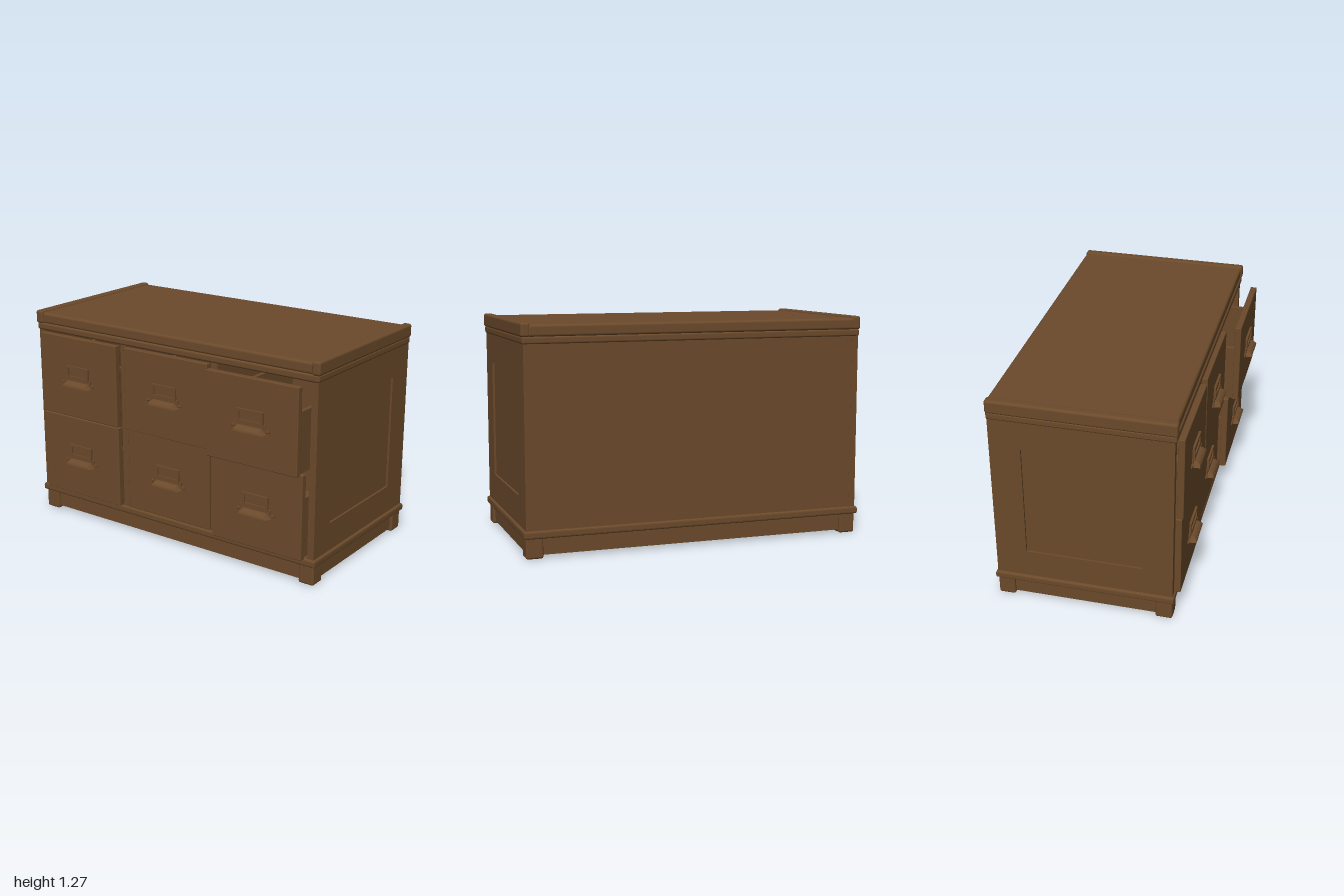
import * as THREE from 'three';
import { RoundedBoxGeometry } from 'three/addons/geometries/RoundedBoxGeometry.js';

const wood = new THREE.MeshStandardMaterial({ color: 0x6b4a2b });
wood.name = 'brownWood';

function add(parent, name, geometry) {
  const mesh = new THREE.Mesh(geometry, wood);
  mesh.name = name;
  parent.add(mesh);
  return mesh;
}

// Box given by its limits, with optional rounded edges
function box(parent, name, x0, x1, y0, y1, z0, z1, r = 0) {
  const size = [x1 - x0, y1 - y0, z1 - z0];
  const geo = r ? new RoundedBoxGeometry(...size, 3, r) : new THREE.BoxGeometry(...size);
  geo.translate((x0 + x1) / 2, (y0 + y1) / 2, (z0 + z1) / 2);
  return add(parent, name, geo);
}

function rect(path, x0, x1, y0, y1) {
  path.moveTo(x0, y0);
  path.lineTo(x1, y0);
  path.lineTo(x1, y1);
  path.lineTo(x0, y1);
  path.closePath();
  return path;
}

// Flat rectangular frame in XY, extruded along +z
function frame(outer, inner, depth, bevel = 0) {
  const shape = rect(new THREE.Shape(), ...outer);
  shape.holes.push(rect(new THREE.Path(), ...inner));
  return new THREE.ExtrudeGeometry(shape, {
    depth, bevelEnabled: bevel > 0, bevelSize: bevel, bevelOffset: -bevel, bevelThickness: bevel, bevelSegments: 3,
  });
}

// Cup pull: quarter-round profile, narrowing towards the top
function cupGeometry() {
  const s = new THREE.Shape();
  s.moveTo(0, 0);
  s.lineTo(0.045, 0);
  s.lineTo(0.043, 0.008);
  s.quadraticCurveTo(0.034, 0.026, 0.012, 0.03);
  s.lineTo(0, 0.03);
  const geo = new THREE.ExtrudeGeometry(s, { depth: 0.2, bevelEnabled: false, curveSegments: 6 });
  geo.translate(0, 0, -0.1).rotateY(-Math.PI / 2);
  const p = geo.attributes.position;
  for (let i = 0; i < p.count; i++) {
    p.setX(i, p.getX(i) * (1.03 - 9 * p.getY(i) - 3 * Math.max(0, p.getZ(i) - 0.01)));
  }
  geo.computeVertexNormals();
  return geo;
}

function createHandle() {
  const g = new THREE.Group();
  g.name = 'handle';
  // Label holder and its backing
  const holder = add(g, 'labelHolder', frame([-0.085, 0.085, 0.04, 0.12], [-0.068, 0.068, 0.06, 0.107], 0.014));
  holder.position.z = -0.001;
  box(g, 'labelCard', -0.07, 0.07, 0.055, 0.11, -0.001, 0.004);
  box(g, 'backPlate', -0.1, 0.1, 0.02, 0.05, -0.001, 0.008);
  add(g, 'cupPull', cupGeometry());
  // Side lugs with screws
  for (const s of [-1, 1]) {
    box(g, 'lug', s * 0.105 - 0.018, s * 0.105 + 0.018, 0.008, 0.026, -0.001, 0.007);
    const screw = add(g, 'screw', new THREE.SphereGeometry(0.007, 10, 6));
    screw.position.set(s * 0.112, 0.017, 0.007);
  }
  return g;
}

// Drawer with its front face on local z = 0, bottom on y = 0
function createDrawer() {
  const g = new THREE.Group();
  g.name = 'drawer';
  const w = 0.295, d = -0.86, h = 0.35;
  box(g, 'drawerFront', -w, w, 0, 0.493, -0.037, 0, 0.005);
  for (const s of [-1, 1]) {
    const x = s * (w - 0.02);
    box(g, 'drawerSide', x - 0.012, x + 0.012, 0.005, h, d, -0.03);
  }
  box(g, 'drawerBack', -w + 0.02, w - 0.02, 0.005, h, d, d + 0.024);
  box(g, 'drawerBottom', -w + 0.02, w - 0.02, 0.005, 0.025, d, -0.03);
  const handle = createHandle();
  handle.position.y = 0.2;
  g.add(handle);
  return g;
}

export function createModel() {
  const model = new THREE.Group();
  model.name = 'drawerCabinet';

  // Base: corner feet, skirting and moulding
  for (const s of [-1, 1]) {
    const x = s * 0.938;
    for (const z of [0.382, -0.528]) {
      box(model, 'foot', x - 0.048, x + 0.048, 0, 0.125, z - 0.048, z + 0.048, 0.012);
    }
    box(model, 'sideSkirt', s * 0.955 - 0.015, s * 0.955 + 0.015, 0.018, 0.12, -0.53, 0.38);
  }
  box(model, 'frontSkirt', -0.94, 0.94, 0.018, 0.12, 0.385, 0.415);
  box(model, 'backSkirt', -0.94, 0.94, 0.018, 0.12, -0.56, -0.53);
  const moulding = add(model, 'baseMoulding',
    frame([-0.998, 0.998, -0.44, 0.585], [-0.92, 0.92, -0.36, 0.505], 0.021, 0.012));
  moulding.rotation.x = -Math.PI / 2;
  moulding.position.y = 0.123;

  // Carcass: framed sides, back, floor, dividers
  for (const s of [-1, 1]) {
    const side = add(model, 'sideFrame', frame([-0.575, 0.43, 0.145, 1.17], [-0.4, 0.265, 0.32, 0.99], 0.04));
    side.rotation.y = -Math.PI / 2;
    side.position.x = s > 0 ? 0.985 : -0.945;
    box(model, 'sidePanel', s * 0.96 - 0.013, s * 0.96 + 0.013, 0.3, 1.01, -0.42, 0.285);
    box(model, 'divider', s * 0.323 - 0.022, s * 0.323 + 0.022, 0.15, 1.165, -0.56, 0.43);
  }
  box(model, 'backPanel', -0.95, 0.95, 0.145, 1.17, -0.574, -0.55);
  box(model, 'floor', -0.95, 0.95, 0.135, 0.156, -0.56, 0.425);

  // Top: lower moulding, slab and raised end caps
  box(model, 'topMoulding', -0.992, 0.992, 1.157, 1.2, -0.58, 0.44, 0.012);
  box(model, 'topSlab', -0.96, 0.96, 1.195, 1.262, -0.582, 0.435, 0.016);
  for (const s of [-1, 1]) {
    box(model, 'endCap', s * 0.972 - 0.026, s * 0.972 + 0.026, 1.195, 1.273, -0.582, 0.445, 0.014);
  }

  // Drawers, some pulled slightly open: [x, lower front z, upper front z]
  for (const [x, low, high] of [[-0.645, 0.465, 0.472], [0, 0.44, 0.465], [0.642, 0.485, 0.545]]) {
    [low, high].forEach((z, row) => {
      const drawer = createDrawer();
      drawer.position.set(x, 0.159 + row * 0.5, z);
      model.add(drawer);
    });
  }
  return model;
}
